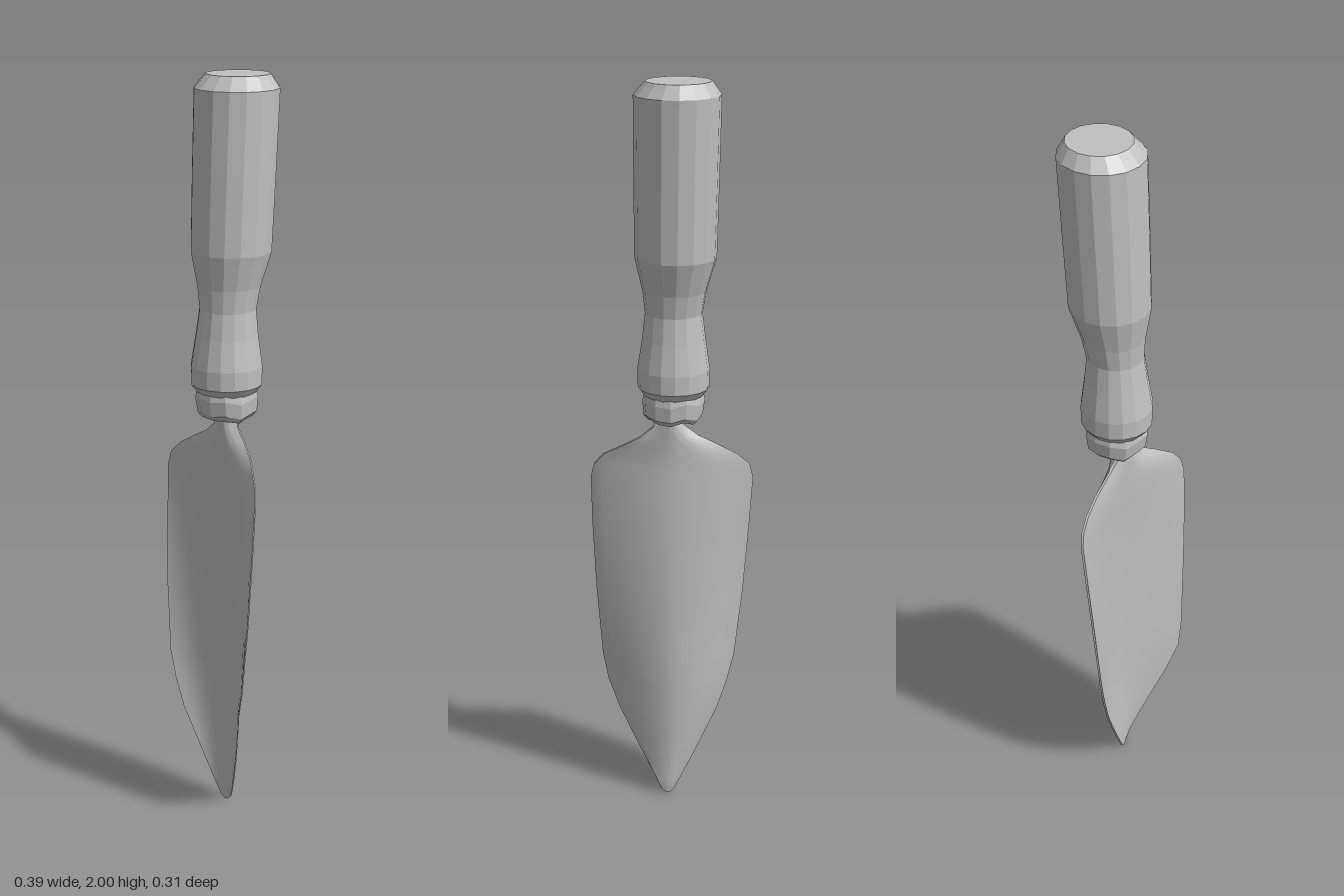
import * as THREE from 'three';
import { toCreasedNormals } from 'three/addons/utils/BufferGeometryUtils.js';

// Joins equal-length rings of points, listed top to bottom, into one closed skin
function loft(rings) {
  const n = rings[0].length, pos = rings.flat(2), idx = [];
  for (let i = 0; i < rings.length - 1; i++) {
    for (let j = 0; j < n; j++) {
      const k = (j + 1) % n, a = i * n + j, d = i * n + k;
      idx.push(a, a + n, d + n, a, d + n, d);
    }
  }
  const last = (rings.length - 1) * n;
  for (let j = 1; j < n - 1; j++) {
    idx.push(0, j, j + 1, last, last + j + 1, last + j);
  }
  const g = new THREE.BufferGeometry();
  g.setAttribute('position', new THREE.Float32BufferAttribute(pos, 3));
  g.setIndex(idx);
  return g;
}

// Round faceted section: height, radius, centre x, centre z
function roundRing([y, r, cx, cz], sides, wobble = 0) {
  return Array.from({ length: sides }, (_, i) => {
    const a = (-i / sides) * Math.PI * 2;
    const h = y + wobble * Math.sin(i * 2.4);
    return [cx + r * Math.sin(-a), h, cz + r * Math.cos(a)];
  });
}

// Lens-shaped blade section, bent so that its left wing sweeps forward
function bladeRing([y, xr, xl, zr, zc, zl, t]) {
  const steps = 16, front = [], back = [];
  const xc = THREE.MathUtils.clamp(0.025, xr, xl);
  for (let i = 0; i <= steps; i++) {
    const u = (i / steps) * 2 - 1;
    const x = u < 0 ? xc + (xc - xr) * u : xc + (xl - xc) * u;
    const z = zc + ((zl - zr) / 2) * u + ((zl + zr) / 2 - zc) * u * u;
    const h = 0.003 + t * Math.pow(1 - u * u, 1.5);
    front.push([x, y, z + h]);
    back.unshift([x, y, z - h]);
  }
  return [...front, ...back];
}

export function createModel() {
  const model = new THREE.Group();
  model.name = 'gardenTrowel';
  const grey = new THREE.MeshStandardMaterial({ color: 0xc0c0c0 });
  grey.name = 'plain grey';
  const faceted = (name, rows, sides, wobble) => {
    const g = loft(rows.map((r) => roundRing(r, sides, wobble))).toNonIndexed();
    g.computeVertexNormals();
    const mesh = new THREE.Mesh(g, grey);
    mesh.name = name;
    model.add(mesh);
  };

  // Turned handle, leaning slightly back
  faceted('handle', [
    [2.0, 0.084, 0.022, -0.047],
    [1.965, 0.111, 0.022, -0.041],
    [1.76, 0.109, 0.02, -0.031],
    [1.55, 0.106, 0.018, -0.021],
    [1.46, 0.083, 0.017, -0.012],
    [1.4, 0.075, 0.017, -0.007],
    [1.33, 0.083, 0.016, -0.005],
    [1.25, 0.095, 0.016, -0.003],
    [1.2, 0.094, 0.016, -0.003],
    [1.175, 0.075, 0.016, -0.003],
  ], 16);

  // Worn metal collar under the handle
  faceted('collar', [
    [1.19, 0.078, 0.016, -0.003],
    [1.165, 0.083, 0.016, -0.003],
    [1.125, 0.078, 0.018, -0.004],
    [1.112, 0.066, 0.018, -0.004],
  ], 12, 0.006);

  // Blade and tang: height, right x, left x, right z, centre z, left z, half thickness
  const blade = toCreasedNormals(loft([
    [1.14, -0.015, 0.06, 0.008, 0.008, 0.012, 0.026],
    [1.09, -0.015, 0.065, 0.005, 0.008, 0.018, 0.024],
    [1.06, -0.05, 0.095, -0.012, 0.01, 0.035, 0.021],
    [1.03, -0.105, 0.135, -0.03, 0.012, 0.07, 0.018],
    [1.0, -0.155, 0.17, -0.042, 0.012, 0.112, 0.016],
    [0.97, -0.188, 0.188, -0.046, 0.012, 0.132, 0.015],
    [0.93, -0.198, 0.194, -0.046, 0.01, 0.142, 0.014],
    [0.8, -0.194, 0.19, -0.035, 0.004, 0.147, 0.011],
    [0.6, -0.185, 0.179, -0.018, 0.0, 0.15, 0.009],
    [0.4, -0.167, 0.162, -0.004, -0.002, 0.152, 0.008],
    [0.32, -0.147, 0.148, 0.0, -0.001, 0.148, 0.008],
    [0.24, -0.118, 0.127, 0.003, 0.001, 0.118, 0.008],
    [0.17, -0.08, 0.103, 0.005, 0.004, 0.085, 0.008],
    [0.1, -0.042, 0.077, 0.008, 0.008, 0.052, 0.007],
    [0.04, -0.008, 0.055, 0.011, 0.012, 0.026, 0.006],
    [0.01, 0.01, 0.044, 0.013, 0.013, 0.018, 0.004],
    [0, 0.021, 0.034, 0.014, 0.014, 0.016, 0.002],
  ].map(bladeRing)), 0.9);
  const bladeMesh = new THREE.Mesh(blade, grey);
  bladeMesh.name = 'blade';
  model.add(bladeMesh);

  return model;
}
